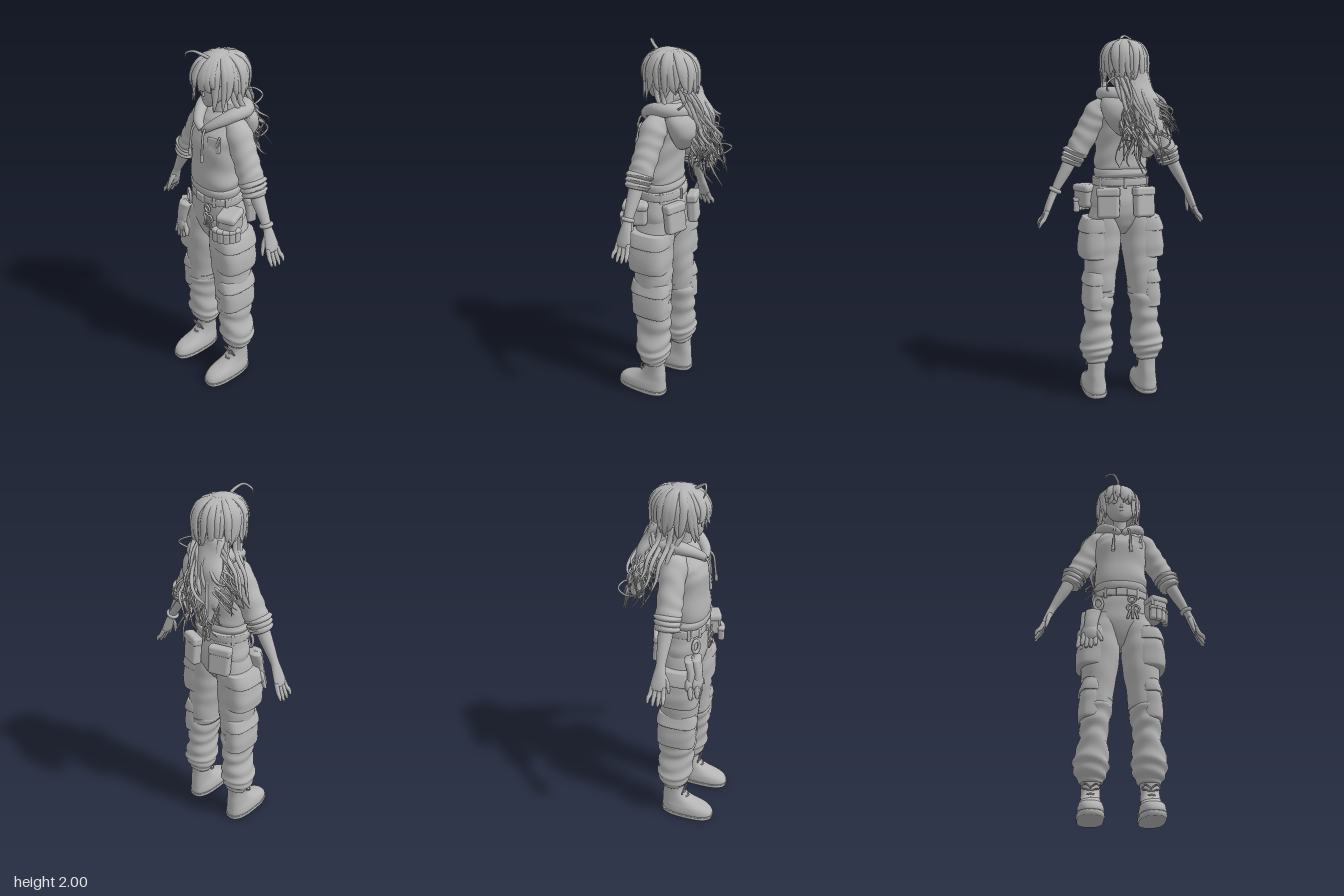
import * as THREE from 'three';
import { RoundedBoxGeometry } from 'three/addons/geometries/RoundedBoxGeometry.js';

const clay = new THREE.MeshStandardMaterial({ color: 0xb4b4b4, side: THREE.DoubleSide });
clay.name = 'clay grey';
const V = (x, y, z) => new THREE.Vector3(x, y, z);

let seed = 11;
const rnd = (a = 0, b = 1) => {
  seed = (seed * 16807) % 2147483647;
  return a + (b - a) * seed / 2147483647;
};

export function createModel() {
  const root = new THREE.Group();

  const add = (name, geo, x = 0, y = 0, z = 0, rx = 0, ry = 0, rz = 0) => {
    const m = new THREE.Mesh(geo, clay);
    m.name = name;
    m.position.set(x, y, z);
    m.rotation.set(rx, ry, rz);
    root.add(m);
    return m;
  };
  const box = (name, w, h, d, x, y, z, r = 0.015, rot = [0, 0, 0]) =>
    add(name, new RoundedBoxGeometry(w, h, d, 3, r), x, y, z, ...rot);
  const ball = (name, x, y, z, a, b, c, rot = [0, 0, 0]) => {
    const m = add(name, new THREE.SphereGeometry(1, 24, 16), x, y, z, ...rot);
    m.scale.set(a, b, c);
    return m;
  };
  const tube = (name, pts, r, n = 40) =>
    add(name, new THREE.TubeGeometry(new THREE.CatmullRomCurve3(pts.map(p => V(...p))), n, r, 8));

  // Closed skin through sections [x, y, z, rx, rz]; flat keeps the rings level
  const loft = (name, secs, { flat = true, steps = 40, seg = 28, sq = 1, fold = 0, freq = 40, ref = V(0, 0, 1) } = {}) => {
    const path = new THREE.CatmullRomCurve3(secs.map(s => V(s[0], s[1], s[2])), false, 'catmullrom');
    const size = new THREE.CatmullRomCurve3(secs.map(s => V(s[3], s[4], 0)), false, 'catmullrom');
    const pos = [], idx = [];
    const power = v => Math.sign(v) * Math.abs(v) ** sq;
    for (let i = -1; i <= steps + 1; i++) {
      const t = Math.min(Math.max(i / steps, 0), 1);
      const c = path.getPoint(t), r = size.getPoint(t);
      const T = flat ? V(0, 1, 0) : path.getTangent(t);
      const W = ref.clone().addScaledVector(T, -T.dot(ref)).normalize();
      const U = T.clone().cross(W);
      const cap = i < 0 || i > steps ? 0.001 : 1;
      for (let j = 0; j < seg; j++) {
        const a = j / seg * Math.PI * 2;
        const f = cap * (1 + fold * Math.sin(freq * t + 1.6 * Math.sin(a + 5 * t) + Math.cos(2 * a)));
        const p = c.clone().addScaledVector(U, power(Math.cos(a)) * Math.abs(r.x) * f)
          .addScaledVector(W, power(Math.sin(a)) * Math.abs(r.y) * f);
        pos.push(p.x, p.y, p.z);
      }
    }
    for (let i = 0; i < steps + 2; i++) for (let j = 0; j < seg; j++) {
      const k = (j + 1) % seg, a = i * seg + j, b = i * seg + k, c = a + seg, d = b + seg;
      idx.push(a, c, b, b, c, d);
    }
    const g = new THREE.BufferGeometry();
    g.setAttribute('position', new THREE.Float32BufferAttribute(pos, 3));
    g.setIndex(idx);
    g.computeVertexNormals();
    return add(name, g);
  };

  // Trousers
  loft('trouserSeat', [[0, .93, .065, .03, .06], [0, .98, .062, .09, .092], [0, 1.04, .06, .15, .11], [0, 1.1, .058, .168, .114],
    [0, 1.17, .064, .157, .108], [0, 1.24, .07, .14, .1]], { sq: .9, fold: .008, freq: 20 });

  for (const s of [1, -1]) {
    const side = s > 0 ? 'left' : 'right';
    const limb = (name, secs, o) => loft(side + name, secs.map(([x, ...r]) => [x * s, ...r]), o);
    const block = (name, w, h, d, x, y, z, r, rot) =>
      box(side + name, w, h, d, x * s, y, z, r, [rot[0], rot[1] * s, rot[2] * s]);

    limb('TrouserThigh', [[.124, .58, .06, .082, .102], [.118, .7, .062, .088, .107], [.11, .8, .066, .098, .108],
      [.104, .9, .068, .1, .11], [.094, 1, .065, .092, .108], [.08, 1.1, .06, .078, .1]], { steps: 50, fold: .014, freq: 26, sq: .92 });
    limb('TrouserShin', [[.145, .2, .04, .056, .056], [.147, .23, .045, .075, .072], [.147, .28, .045, .092, .093],
      [.145, .33, .05, .09, .1], [.136, .42, .053, .073, .1], [.133, .5, .055, .077, .106], [.125, .58, .06, .083, .105],
      [.123, .62, .06, .082, .1]], { steps: 64, fold: .045, freq: 40, sq: .92 });

    // Cargo pockets wrap the outside of the leg
    limb('ThighPocket', [[.152, .795, .068, .07, .1], [.152, .81, .068, .085, .112], [.15, .88, .069, .087, .114],
      [.147, .96, .069, .076, .11]], { sq: .72, steps: 24, fold: .012, freq: 12 });
    limb('ThighPocketFlap', [[.15, .945, .069, .078, .108], [.15, .95, .069, .087, .116], [.147, .985, .068, .08, .114],
      [.14, 1.02, .066, .072, .106]], { sq: .72, steps: 16 });
    limb('KneePocket', [[.158, .515, .058, .05, .1], [.158, .53, .058, .062, .109], [.156, .6, .06, .062, .11],
      [.154, .67, .062, .055, .108]], { sq: .75, steps: 24, fold: .012, freq: 12 });
    limb('KneePocketFlap', [[.156, .655, .061, .056, .106], [.156, .66, .061, .066, .114], [.152, .69, .062, .06, .113],
      [.148, .725, .063, .052, .104]], { sq: .75, steps: 16 });
    block('BackPocket', .12, .15, .055, .098, 1.105, -.062, .018, [.1, -.35, 0]);
    block('BackPocketFlap', .128, .05, .06, .098, 1.168, -.058, .016, [.1, -.35, 0]);

    // Boots
    limb('Boot', [[.148, .015, .125, .062, .15], [.148, .04, .124, .066, .152], [.148, .07, .112, .062, .138],
      [.148, .1, .075, .053, .1], [.148, .13, .05, .049, .073], [.147, .17, .04, .048, .058],
      [.147, .225, .04, .05, .056]], { sq: .8 });
    limb('Sole', [[.148, 0, .125, .064, .15], [.148, .012, .125, .069, .155], [.148, .026, .125, .067, .154]], { sq: .75, steps: 6 });
    for (let i = 0; i < 4; i++) {
      const y = .105 + i * .025, z = .152 - i * .021;
      tube(side + 'Lace', [[s * .112, y - .008, z - .04], [s * .148, y + .002, z], [s * .184, y - .008, z - .04]], .005, 10);
    }
    for (const k of [-1, 1]) tube(side + 'LaceBow', [[s * .148, .17, .1], [s * .148 + k * .03, .185, .11],
      [s * .148 + k * .045, .165, .105], [s * .148 + k * .012, .16, .1]], .004, 14);

    // Sleeves with rolled cuffs, bare forearms
    limb('Sleeve', [[.08, 1.635, .035, .04, .05], [.13, 1.59, .038, .066, .068], [.178, 1.51, .042, .064, .066],
      [.22, 1.43, .046, .064, .066], [.255, 1.365, .05, .058, .066]], { flat: false, fold: .035, freq: 30, steps: 50 });
    for (let i = 0; i < 3; i++) limb('RolledCuff', [[.248 + i * .01, 1.388 - i * .024, .05, .052, .058],
      [.254 + i * .01, 1.374 - i * .024, .05, .07 - i * .005, .073 - i * .003], [.26 + i * .01, 1.359 - i * .024, .05, .052, .058]],
      { flat: false, steps: 10, fold: .05, freq: 3 + i });
    limb('Forearm', [[.265, 1.37, .05, .036, .04], [.302, 1.29, .05, .034, .037], [.338, 1.225, .05, .028, .03],
      [.37, 1.165, .05, .021, .025], [.388, 1.125, .05, .02, .032], [.41, 1.07, .05, .017, .041],
      [.42, 1.045, .05, .012, .036]], { flat: false });
    for (let i = 0; i < 4; i++) {
      const z = .02 + i * .02, e = [.012, 0, .002, .014][i], zz = .008 + i * .027;
      limb('Finger', [[.411, 1.065, z, .012, .012], [.43, 1.025, (z + zz) / 2, .0115, .0115],
        [.446, .995 + e, zz, .01, .01], [.456, .972 + e, zz, .006, .006]], { flat: false, steps: 12, seg: 10 });
    }
    limb('Thumb', [[.383, 1.125, .065, .014, .014], [.388, 1.085, .088, .012, .012], [.396, 1.045, .1, .009, .009],
      [.4, 1.025, .102, .005, .005]], { flat: false, steps: 12, seg: 10 });

    // Drawstrings
    tube(side + 'Drawstring', [[s * .03, 1.635, .15], [s * .042, 1.6, .185], [s * .045, 1.53, .197], [s * .048, 1.47, .203]], .006);
    tube(side + 'DrawstringTip', [[s * .048, 1.49, .202], [s * .049, 1.455, .204]], .009, 4);
    // Folded hood edge on the shoulder
    limb('HoodLapel', [[.008, 1.595, .155, .018, .016], [.045, 1.63, .145, .026, .022], [.09, 1.668, .09, .032, .03],
      [.11, 1.685, .025, .036, .034], [.085, 1.68, -.05, .04, .04], [0, 1.665, -.09, .045, .045]],
      { flat: false, ref: V(0, 1, 0), fold: .03, freq: 18 });
  }
  add('wristband', new THREE.TorusGeometry(.026, .011, 10, 24), .364, 1.175, .05, Math.PI / 2, .45, 0);

  // Hoodie body, ribbed hem, hood bag, chest pocket
  loft('hoodieBody', [[0, 1.27, .075, .132, .1], [0, 1.31, .078, .146, .108], [0, 1.4, .072, .138, .105],
    [0, 1.5, .068, .142, .115], [0, 1.56, .06, .146, .113], [0, 1.61, .045, .135, .095],
    [0, 1.65, .035, .095, .075], [0, 1.675, .03, .055, .05]], { steps: 60, fold: .016, freq: 34, sq: .88 });
  loft('hoodieHem', [[0, 1.235, .075, .137, .1], [0, 1.255, .075, .148, .108], [0, 1.275, .075, .148, .108],
    [0, 1.29, .075, .137, .1]], { sq: .9, steps: 12, fold: .015, freq: 5 });
  loft('hoodBag', [[0, 1.465, -.055, .03, .02], [0, 1.49, -.065, .07, .045], [0, 1.55, -.075, .115, .075],
    [0, 1.62, -.065, .138, .08], [0, 1.67, -.045, .125, .07], [0, 1.7, -.04, .09, .05]], { fold: .02, freq: 14 });
  box('chestPocket', .07, .075, .012, .085, 1.545, .155, .005, [-.05, .4, 0]);
  box('pen', .012, .06, .012, .11, 1.57, .15, .005, [0, .4, -.3]);

  // Belt, loops and buckle
  loft('belt', [[0, 1.195, .068, .15, .104], [0, 1.2, .068, .157, .112], [0, 1.232, .068, .157, .112],
    [0, 1.237, .068, .15, .104]], { sq: .9, steps: 12 });
  box('buckle', .06, .045, .014, 0, 1.215, .181, .006);
  for (const a of [.6, 1.1, 2.2, 3.14, 4.1, 5.2, 5.7])
    box('beltLoop', .018, .06, .014, .157 * Math.sin(a), 1.213, .068 + .112 * Math.cos(a), .005, [0, a, 0]);

  // Tool pouches on the left hip
  box('toolPouch', .1, .11, .13, .178, 1.12, .13, .025, [0, .45, 0]);
  box('toolPouchFlap', .108, .045, .138, .178, 1.172, .13, .02, [0, .45, 0]);
  for (let i = 0; i < 5; i++) {
    const a = .1 + i * .36, x = .155 + Math.sin(a) * .08, z = .13 + Math.cos(a) * .08;
    box('smallPouch', .036, .065, .034, x, 1.07, z, .012, [0, a, 0]);
    box('smallPouchFlap', .04, .022, .038, x, 1.108, z, .009, [0, a, 0]);
    box('toolHandle', .016, .05, .016, x - .012 * Math.sin(a), 1.15, z - .012 * Math.cos(a), .006, [0, a, 0]);
  }

  // Key charm and carabiner
  for (const [x, y, r] of [[.055, 1.17, .018], [.045, 1.12, .016], [.075, 1.115, .018]])
    add('keyRing', new THREE.TorusGeometry(r, .006, 8, 20), x, y, .178);
  for (const k of [-1, 0, 1]) box('key', .014, .055, .01, .058 + k * .02, 1.08, .18, .004, [0, 0, k * .3]);
  const clip = add('carabiner', new THREE.TorusGeometry(.024, .008, 8, 24), -.125, 1.15, .155, 0, -.4, .2);
  clip.scale.y = 1.5;

  // Work gloves hanging from the right hip
  for (const [dx, dz, tilt] of [[0, 0, .12], [-.022, -.03, -.05]]) {
    const gx = -.165 + dx, gz = .18 + dz;
    loft('gloveCuff', [[gx, .97, gz, .036, .02], [gx + .005, 1.03, gz, .036, .022], [gx + .015, 1.1, gz - .015, .042, .026]],
      { steps: 14, fold: .03, freq: 9 });
    ball('glovePalm', gx - .005, .96, gz, .045, .05, .024, [0, -.3, tilt]);
    for (let i = 0; i < 4; i++) loft('gloveFinger', [[gx - .045 + i * .024, .87 + Math.abs(i - 1.4) * .012, gz + .012, .008, .008],
      [gx - .038 + i * .021, .91, gz + .008, .013, .013], [gx - .03 + i * .018, .96, gz, .013, .013]], { steps: 10, seg: 10 });
    loft('gloveThumb', [[gx + .058, .915, gz + .015, .008, .008], [gx + .05, .94, gz + .01, .013, .013],
      [gx + .025, .985, gz, .014, .014]], { steps: 10, seg: 10 });
  }

  // Neck, head and face
  loft('neck', [[0, 1.62, .04, .05, .045], [0, 1.68, .045, .037, .038], [0, 1.78, .05, .038, .042]], { steps: 12 });
  loft('head', [[0, 1.715, .115, .016, .016], [0, 1.735, .1, .04, .042], [0, 1.77, .077, .065, .07], [0, 1.82, .055, .082, .092],
    [0, 1.88, .04, .09, .108], [0, 1.93, .035, .078, .09], [0, 1.96, .03, .04, .05]]);
  add('nose', new THREE.ConeGeometry(.01, .032, 10), 0, 1.795, .149, .2);
  ball('mouth', 0, 1.76, .142, .016, .004, .005);
  for (const s of [-1, 1]) {
    ball('eye', s * .036, 1.825, .136, .018, .014, .006, [0, s * .4, 0]);
    tube('eyelid', [[s * .016, 1.832, .145], [s * .036, 1.842, .14], [s * .058, 1.832, .126]], .003, 12);
    ball('ear', s * .084, 1.81, .045, .012, .026, .017);
  }

  // Hair cap, tilted clear of the face
  const hc = V(-.012, 1.845, .03), hr = V(.118, .125, .145);
  const cap = add('hairCap', new THREE.SphereGeometry(1, 32, 20, 0, Math.PI * 2, 0, Math.PI * .56), hc.x, hc.y, hc.z, -.3);
  cap.scale.set(hr.x, hr.y, hr.z);

  // Locks draped from the crown; fringe is shorter than sides and back
  for (let i = 0; i < 36; i++) {
    const a = i / 36 * Math.PI * 2 + rnd(-.08, .08), front = Math.cos(a), sway = rnd(-.25, .25);
    const at = (phi, k, drop = 0, turn = 0) => [hc.x + Math.sin(a + turn) * Math.sin(phi) * hr.x * k,
      hc.y + Math.cos(phi) * hr.y * k - drop, hc.z + Math.cos(a + turn) * Math.sin(phi) * hr.z * k];
    const drop = front > .75 ? rnd(.005, .06) : front > .1 ? rnd(.07, .14) : rnd(.06, .12);
    const w = rnd(.016, .026), k = rnd(.99, 1.06);
    loft('hairLock', [[...at(.3, .97), .006, .01], [...at(.8, k), .009, w], [...at(1.3, k + .01), .01, w],
      [...at(1.57, k, drop * .5, sway * .4), .008, w * .7], [...at(1.57, rnd(.88, 1.12), drop, sway), .002, .003]],
      { flat: false, steps: 16, seg: 8, ref: V(Math.cos(a), 0, -Math.sin(a)) });
  }
  // Upright curl over the forehead
  loft('crownCurl', [[-.01, 1.95, .1, .008, .008], [-.02, 1.975, .135, .008, .008], [-.045, 1.992, .165, .006, .006],
    [-.085, 1.975, .178, .005, .005], [-.1, 1.945, .172, .002, .002]], { flat: false, steps: 20, seg: 8, ref: V(0, 1, 0) });

  // Loose curly tail swept to the right behind the back
  loft('hairTailCore', [[-.08, 1.36, -.17, .02, .015], [-.09, 1.42, -.175, .06, .03], [-.095, 1.53, -.15, .075, .035],
    [-.08, 1.65, -.125, .075, .04], [-.04, 1.76, -.075, .08, .045], [-.015, 1.83, -.04, .09, .06]], { fold: .08, freq: 22 });
  for (let i = 0; i < 76; i++) {
    const over = i % 4 === 0;
    const x0 = rnd(-.11, .06), ex = over ? rnd(-.27, -.18) : rnd(-.2, .07), ey = over ? rnd(1.45, 1.6) : rnd(1.31, 1.5);
    const ez = over ? rnd(-.17, -.04) : rnd(-.25, -.12);
    const amp = rnd(.006, .03), turns = rnd(7, 13), ph = rnd(0, 6), r = rnd(.005, .012), secs = [];
    for (let k = 0; k <= 9; k++) {
      const t = k / 9, wave = amp * (.3 + t);
      secs.push([x0 + (ex - x0) * t ** 1.2 + wave * Math.sin(ph + t * turns), 1.79 + (ey - 1.79) * t + wave * t * Math.sin(t * turns),
        -.07 + (ez + .07) * t ** .7 + wave * Math.cos(ph + t * turns), r * (1 - .7 * t * t), r * (1.2 - .9 * t * t)]);
    }
    loft('hairStrand', secs, { flat: false, steps: 28, seg: 7 });
  }
  // Side tresses, heavier over the right shoulder
  for (const [x, y, z, dx, len] of [[-.11, 1.8, .05, -.1, .28], [-.12, 1.79, .02, -.15, .3], [-.1, 1.79, -.02, -.17, .3],
    [-.11, 1.78, -.04, -.15, .24], [-.11, 1.8, .08, -.03, .17], [.1, 1.8, .05, .02, .16], [.1, 1.79, .01, .03, .18]])
    loft('sideTress', [[x, y, z, .012, .016], [x + dx * .1, y - len * .3, z - .01, .011, .014], [x + dx * .6, y - len * .55, z - .03, .009, .011],
      [x + dx * .75, y - len * .8, z - .04, .007, .008], [x + dx, y - len, z - .06, .002, .002]], { flat: false, steps: 24, seg: 8 });
  // Flyaway loops at the back
  for (const [x, y, z, s] of [[.08, 1.74, -.08, 1], [.02, 1.5, -.18, 1], [-.2, 1.6, -.07, -1], [-.15, 1.45, -.19, -1]])
    tube('flyawayLoop', [[x - s * .05, y + .03, z + .04], [x, y + .025, z - .035], [x + s * .035, y, z - .05],
      [x + s * .03, y - .035, z - .015], [x, y - .05, z + .02]], .005, 24);

  return root;
}
